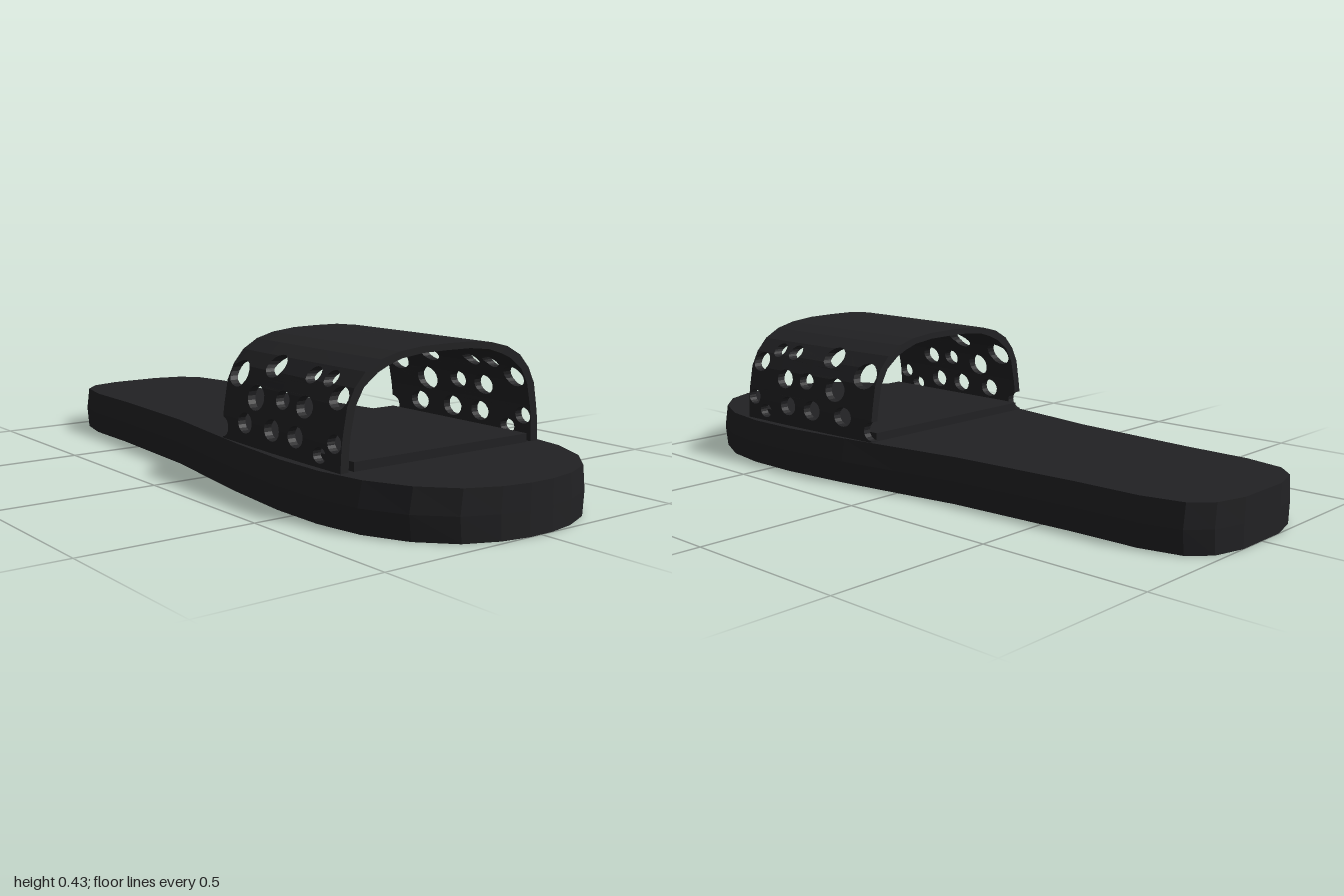
import * as THREE from 'three';

const material = new THREE.MeshStandardMaterial({ color: 0x222224, flatShading: true });

// Half arch of the strap from side foot to crown: [outer z, inner z, outer y, inner y]
const ARCH = [
  [0.353, 0.327, 0.13, 0.13], [0.35, 0.325, 0.2, 0.2], [0.345, 0.32, 0.235, 0.235],
  [0.333, 0.306, 0.3, 0.3], [0.31, 0.28, 0.345, 0.345], [0.275, 0.235, 0.383, 0.378],
  [0.225, 0.2, 0.41, 0.393], [0.165, 0.155, 0.425, 0.407], [0.085, 0.085, 0.433, 0.415],
  [0, 0, 0.434, 0.416],
];
const TOP = ARCH.length - 1;
const X0 = 0.1, X1 = 0.66;

// Ventilation holes in side elevation: [x, y, radius x, radius y]
const HOLES = [
  [0.15, 0.322, 0.045, 0.036], [0.305, 0.358, 0.04, 0.029], [0.262, 0.27, 0.041, 0.035],
  [0.39, 0.281, 0.031, 0.025], [0.49, 0.277, 0.036, 0.029], [0.48, 0.356, 0.027, 0.021],
  [0.555, 0.356, 0.025, 0.02], [0.618, 0.316, 0.036, 0.029], [0.22, 0.195, 0.036, 0.029],
  [0.355, 0.196, 0.036, 0.03], [0.465, 0.196, 0.034, 0.029], [0.572, 0.167, 0.027, 0.021],
  [0.63, 0.205, 0.028, 0.024],
];

// Arch index at a given height
function indexAt(y) {
  let i = 0;
  while (i < TOP - 1 && ARCH[i + 1][2] < y) i++;
  return i + (y - ARCH[i][2]) / (ARCH[i + 1][2] - ARCH[i][2]);
}

// Cuts a triangle list along the plane coordinate[axis] = level
function slice(triangles, axis, level) {
  const result = [];
  for (const tri of triangles) {
    for (const side of [1, -1]) {
      const poly = [];
      for (let i = 0; i < 3; i++) {
        const a = tri[i], b = tri[(i + 1) % 3];
        const da = side * (a.getComponent(axis) - level);
        const db = side * (b.getComponent(axis) - level);
        if (da >= -1e-6) poly.push(a);
        if ((da > 1e-6 && db < -1e-6) || (da < -1e-6 && db > 1e-6)) {
          poly.push(a.clone().lerp(b, da / (da - db)));
        }
      }
      const onPlane = poly.every((p) => Math.abs(p.getComponent(axis) - level) < 1e-5);
      if (onPlane && side < 0) continue;
      for (let i = 1; i + 1 < poly.length; i++) result.push([poly[0], poly[i], poly[i + 1]]);
    }
  }
  return result;
}

// Strap is drawn flat as (x, position along the arch), then bent over the foot
function strapGeometry() {
  const flat = (x, y, side) => new THREE.Vector2(x, side * (TOP - indexAt(y)));
  const notch = (side) => {
    const points = [];
    for (let i = 0; i <= 8; i++) {
      const a = -Math.PI / 2 + (i / 8) * Math.PI;
      points.push(flat(X0 + 0.03 * Math.cos(a), 0.167 + 0.028 * Math.sin(a), side));
    }
    return points;
  };
  const shape = new THREE.Shape([
    new THREE.Vector2(X0, -TOP), new THREE.Vector2(X1, -TOP),
    new THREE.Vector2(X1, TOP), new THREE.Vector2(X0, TOP),
    ...notch(1), ...notch(-1).reverse(),
  ]);
  for (const side of [-1, 1]) {
    for (const [x, y, rx, ry] of HOLES) {
      const ring = [];
      for (let i = 0; i < 18; i++) {
        const a = (i / 18) * Math.PI * 2;
        ring.push(flat(x + rx * Math.cos(a), y + ry * Math.sin(a), side));
      }
      shape.holes.push(new THREE.Path(ring));
    }
  }
  const source = new THREE.ExtrudeGeometry(shape, { depth: 1, bevelEnabled: false });
  const soup = source.index ? source.toNonIndexed() : source;
  const p = soup.attributes.position;
  let triangles = [];
  for (let i = 0; i < p.count; i += 3) {
    triangles.push([0, 1, 2].map((k) => new THREE.Vector3().fromBufferAttribute(p, i + k)));
  }
  for (let w = 1 - TOP; w < TOP; w++) triangles = slice(triangles, 1, w);
  for (const x of [0.24, 0.38, 0.52]) triangles = slice(triangles, 0, x);

  const bend = (v) => {
    const t = Math.min(TOP, Math.max(0, TOP - Math.abs(v.y)));
    const i = Math.min(TOP - 1, Math.floor(t));
    const at = (k) => THREE.MathUtils.lerp(ARCH[i][k], ARCH[i + 1][k], t - i);
    const flare = 1 - 0.06 * ((X1 - v.x) / (X1 - X0)) ** 2;
    const z = THREE.MathUtils.lerp(at(1), at(0), v.z) * flare;
    return new THREE.Vector3(v.x, THREE.MathUtils.lerp(at(3), at(2), v.z), v.y < 0 ? z : -z);
  };
  const geometry = new THREE.BufferGeometry().setFromPoints(triangles.flat().map(bend));
  geometry.computeVertexNormals();
  return geometry;
}

// Sole outline extruded upwards, widest at mid height
function soleGeometry() {
  const half = [
    [-1, 0.09], [-0.975, 0.185], [-0.92, 0.24], [-0.8, 0.267], [-0.6, 0.272], [-0.2, 0.3],
    [0, 0.332], [0.2, 0.363], [0.43, 0.388], [0.6, 0.388], [0.74, 0.364], [0.86, 0.305],
    [0.945, 0.22], [0.985, 0.125], [1, 0.04],
  ];
  const outline = [
    ...half.map(([x, z]) => new THREE.Vector2(x, -z)),
    ...half.map(([x, z]) => new THREE.Vector2(x, z)).reverse(),
  ];
  const geometry = new THREE.ExtrudeGeometry(new THREE.Shape(outline), {
    depth: 0.135, steps: 2, bevelEnabled: false,
  });
  geometry.rotateX(-Math.PI / 2);
  const p = geometry.attributes.position;
  for (let i = 0; i < p.count; i++) {
    const y = p.getY(i);
    p.setZ(i, p.getZ(i) * (y < 0.03 ? 0.975 : y > 0.1 ? 0.962 : 1));
  }
  geometry.computeVertexNormals();
  return geometry;
}

export function createModel() {
  const model = new THREE.Group();
  model.name = 'slideSandal';
  const add = (name, geometry) => {
    const mesh = new THREE.Mesh(geometry, material);
    mesh.name = name;
    model.add(mesh);
    return mesh;
  };
  add('sole', soleGeometry());
  add('strap', strapGeometry());
  // Thin base joining the two feet of the strap
  add('strapBase', new THREE.BoxGeometry(X1 - X0, 0.03, 0.62)).position.set((X0 + X1) / 2, 0.145, 0);
  return model;
}
